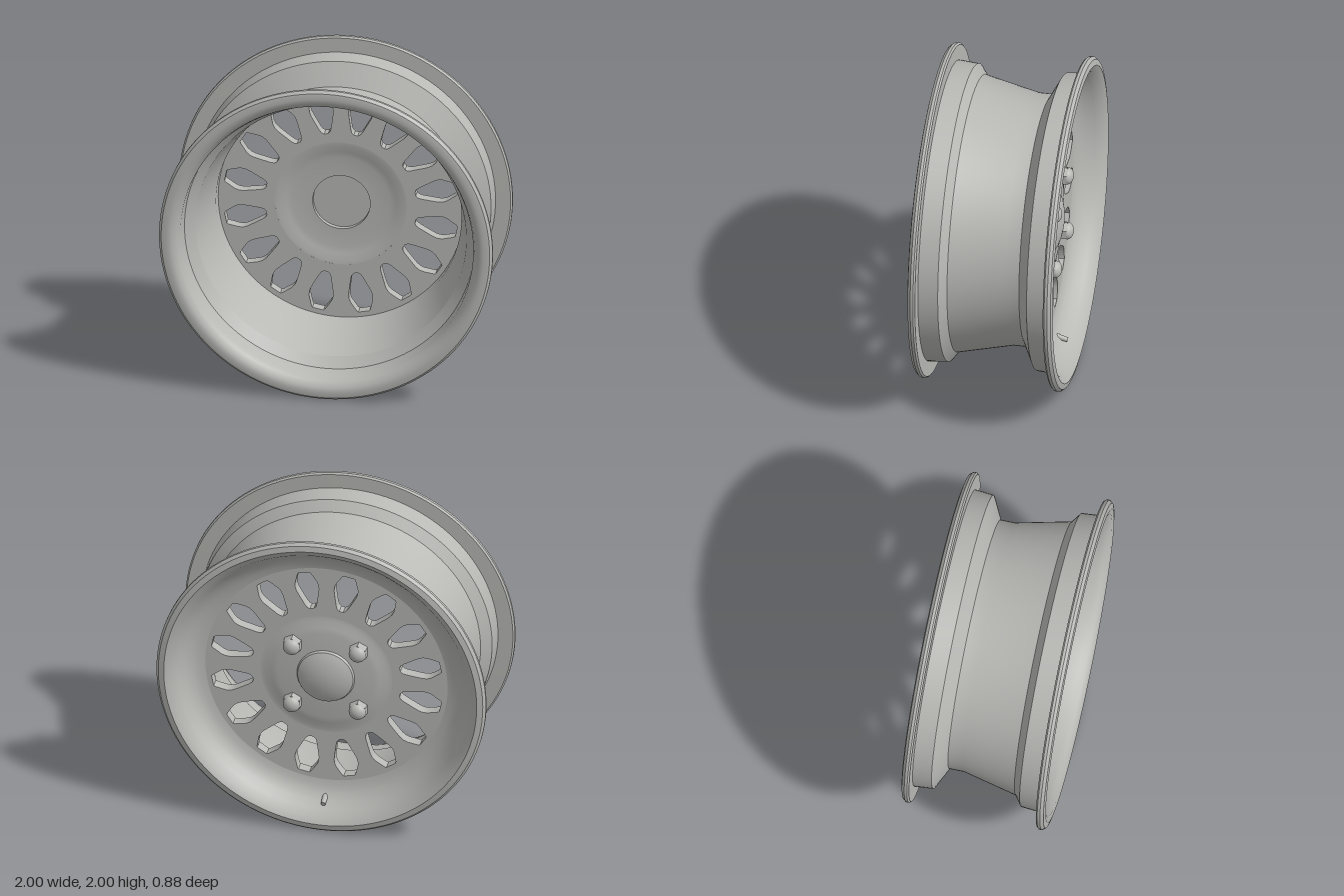
import * as THREE from 'three';
import { toCreasedNormals } from 'three/addons/utils/BufferGeometryUtils.js';

const alloy = new THREE.MeshStandardMaterial({ color: 0xb8b8b5 });
alloy.name = 'alloy grey';

function add(parent, name, geometry) {
  const mesh = new THREE.Mesh(geometry, alloy);
  mesh.name = name;
  parent.add(mesh);
  return mesh;
}

// Revolves [radius, z] points around the z axis
function revolve(points, segments = 128, crease = 0.55) {
  const g = new THREE.LatheGeometry(points.map(([r, z]) => new THREE.Vector2(r, z)), segments);
  g.rotateX(Math.PI / 2);
  return toCreasedNormals(g, crease);
}

// Disc plate with sixteen tapered windows
function discGeometry() {
  const shape = new THREE.Shape();
  shape.absarc(0, 0, 0.742, 0, Math.PI * 2);
  const inner = new THREE.Path();
  inner.absarc(0, 0, 0.395, 0, Math.PI * 2, true);
  shape.holes.push(inner);
  // window outline: [radial, half width]
  const half = [[0.455, 0.012], [0.465, 0.026], [0.485, 0.036], [0.55, 0.058], [0.585, 0.069],
    [0.61, 0.072], [0.635, 0.068], [0.695, 0.042], [0.705, 0.034]];
  const outline = [...half, ...half.map(([r, w]) => [r, -w]).reverse()];
  for (let i = 0; i < 16; i++) {
    const a = (i + 0.5) * Math.PI / 8, c = Math.cos(a), s = Math.sin(a);
    shape.holes.push(new THREE.Path(
      outline.map(([r, t]) => new THREE.Vector2(r * c - t * s, r * s + t * c))));
  }
  const g = new THREE.ExtrudeGeometry(shape, { depth: 0.065, bevelEnabled: false, curveSegments: 64 });
  g.translate(0, 0, -0.265);
  return toCreasedNormals(g, 0.5);
}

export function createModel() {
  const model = new THREE.Group();
  model.name = 'wheelRim';
  const wheel = new THREE.Group();
  wheel.name = 'wheel';
  wheel.position.y = 1;
  model.add(wheel);

  // Barrel with both flanges and the dished back face
  add(wheel, 'rimBarrel', revolve([
    [0.95, -0.438], [0.985, -0.43], [1, -0.412], [1, -0.395], [0.99, -0.385],
    [0.9, -0.383], [0.89, -0.27], [0.755, -0.2], [0.755, -0.11], [0.83, 0.22], [0.89, 0.265],
    [0.9, 0.383], [0.99, 0.385], [1, 0.395], [1, 0.412], [0.985, 0.43], [0.95, 0.437],
    [0.92, 0.43], [0.892, 0.405], [0.878, 0.37], [0.87, 0.26], [0.812, 0.205],
    [0.737, -0.11], [0.735, -0.265],
    [0.77, -0.273], [0.81, -0.291], [0.85, -0.327], [0.88, -0.37], [0.912, -0.415], [0.95, -0.438],
  ]));

  add(wheel, 'windowedDisc', discGeometry());

  // Raised hub with a shallow centre bore at the front
  add(wheel, 'hub', revolve([
    [0, -0.285], [0.29, -0.285], [0.33, -0.279], [0.37, -0.267], [0.4, -0.265],
    [0.4, -0.2], [0.37, -0.202], [0.33, -0.213], [0.29, -0.22],
    [0.172, -0.22], [0.172, -0.25], [0, -0.25],
  ]));

  // Domed centre cap
  add(wheel, 'centreCap', revolve([
    [0, -0.335], [0.05, -0.333], [0.1, -0.324], [0.14, -0.312], [0.168, -0.299], [0.178, -0.28],
  ], 64));

  // Four hexagonal wheel nuts with rounded ends
  for (const x of [-0.2, 0.2]) for (const y of [-0.2, 0.2]) {
    const nut = new THREE.Group();
    nut.name = 'wheelNut';
    nut.position.set(x, y, -0.28);
    nut.rotation.x = -Math.PI / 2;
    wheel.add(nut);
    const hex = new THREE.CylinderGeometry(0.056, 0.06, 0.05, 6);
    add(nut, 'nutBody', toCreasedNormals(hex, 0.5)).position.y = 0.02;
    const dome = add(nut, 'nutDome', new THREE.SphereGeometry(0.052, 24, 10, 0, Math.PI * 2, 0, Math.PI / 2));
    dome.position.y = 0.042;
    dome.scale.y = 0.75;
  }

  // Slanted valve stem through the bottom of the rim
  const from = new THREE.Vector3(0, -0.81, -0.21), to = new THREE.Vector3(0, -0.85, -0.36);
  const stem = add(wheel, 'valveStem', new THREE.CylinderGeometry(0.014, 0.022, from.distanceTo(to), 16));
  stem.position.copy(from).lerp(to, 0.5);
  stem.quaternion.setFromUnitVectors(new THREE.Vector3(0, 1, 0), to.clone().sub(from).normalize());

  return model;
}
